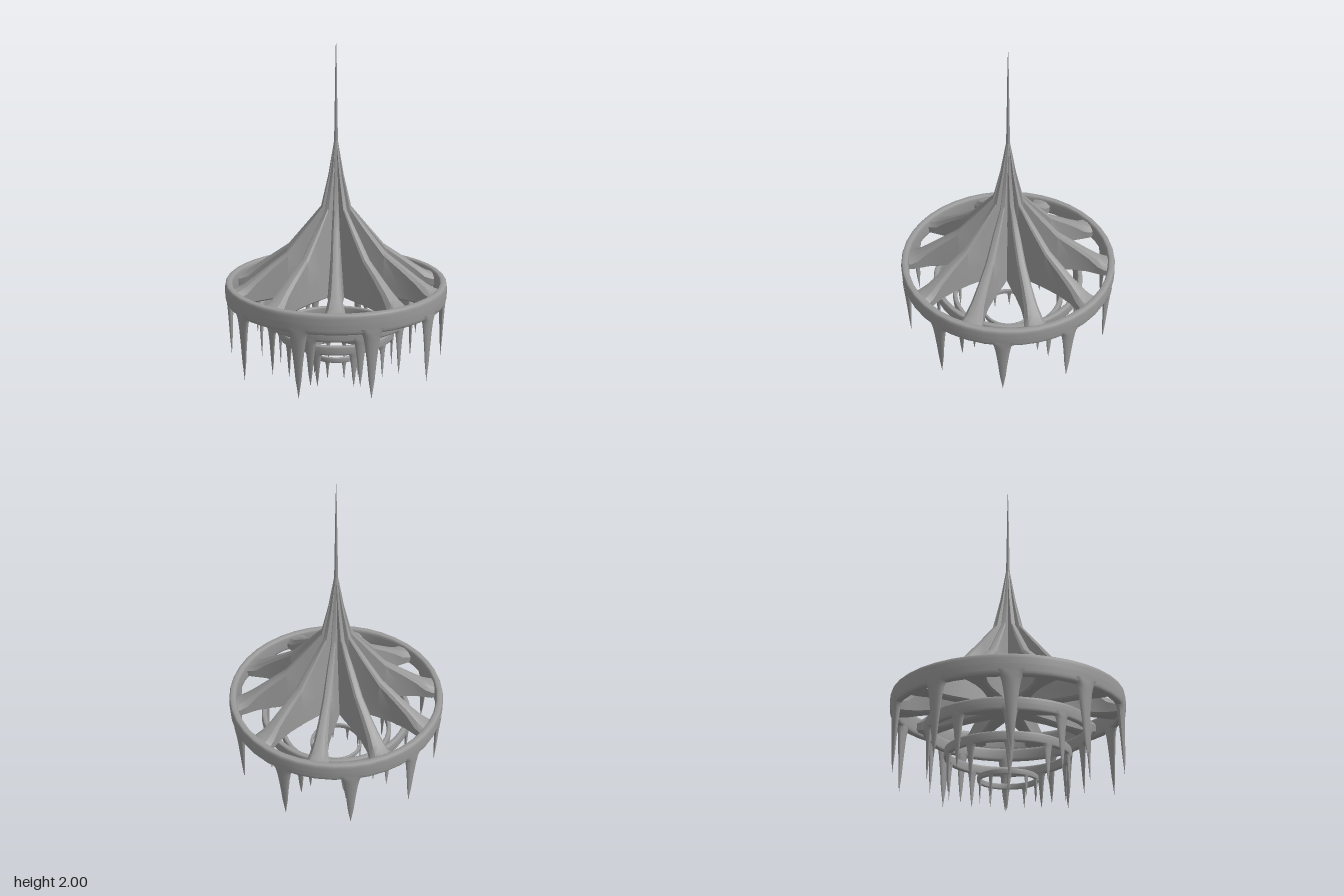
import * as THREE from 'three';
import { toCreasedNormals } from 'three/addons/utils/BufferGeometryUtils.js';

const COUNT = 10;
const STEP = (Math.PI * 2) / COUNT;

// Hoop with a rounded, upright cross-section
function hoopGeometry(outer, inner, top, bottom) {
  const mid = (outer + inner) / 2, half = (outer - inner) / 2;
  const cy = (top + bottom) / 2, hy = (top - bottom) / 2;
  const soft = v => Math.sign(v) * Math.sqrt(Math.abs(v));
  const pts = [];
  for (let i = 0; i <= 20; i++) {
    const a = (i / 20) * Math.PI * 2;
    pts.push(new THREE.Vector2(mid + half * soft(Math.cos(a)), cy + hy * soft(Math.sin(a))));
  }
  return new THREE.LatheGeometry(pts, 40);
}

// Flattened icicle: flared root, slight belly and a sharp tip
function icicleGeometry(top, tip, width, depth) {
  const profile = [[0, 0], [0.13, 0.12], [0.32, 0.29], [0.5, 0.55], [0.72, 0.8],
    [0.88, 0.93], [1, 0.98], [1.16, 1.02], [1.45, 1.08]];
  const pts = profile.map(([w, t]) => new THREE.Vector2(w * width / 2, tip + (top - tip) * t));
  const geo = new THREE.LatheGeometry(pts, 12);
  const limit = depth / 2;
  const p = geo.attributes.position;
  for (let i = 0; i < p.count; i++) {
    p.setX(i, THREE.MathUtils.clamp(p.getX(i) * 0.45, -limit, limit));
  }
  geo.computeVertexNormals();
  return geo;
}

// Radial blade: a rounded ridge over a deep web, flaring where it meets the hoop
function bladeGeometry() {
  // radius, ridge height, underside height, ridge half-width, underside half-width
  const sections = [
    [0.0, 1.45, 0.50, 0.003, 0.05],
    [0.012, 1.40, 0.50, 0.004, 0.05],
    [0.045, 1.21, 0.50, 0.008, 0.05],
    [0.09, 1.02, 0.50, 0.013, 0.05],
    [0.19, 0.90, 0.50, 0.021, 0.046],
    [0.30, 0.77, 0.50, 0.026, 0.036],
    [0.40, 0.70, 0.495, 0.031, 0.031],
    [0.49, 0.637, 0.49, 0.040, 0.038],
    [0.55, 0.597, 0.485, 0.056, 0.052],
    [0.59, 0.575, 0.485, 0.068, 0.065],
    [0.625, 0.565, 0.49, 0.072, 0.07]
  ];
  const pos = [], idx = [];
  let n = 0;
  for (const [r, top, bot, wt, wb] of sections) {
    const cap = Math.min(wt * 0.8, (top - bot) * 0.4);
    const side = [[top, 0], [top - cap * 0.2, wt * 0.6], [top - cap, wt],
      [bot + (top - bot) * 0.35, wt * 0.4 + wb * 0.6], [bot + 0.01, wb], [bot, wb * 0.7]];
    const loop = [...side, ...side.slice(1).reverse().map(([y, z]) => [y, -z])];
    n = loop.length;
    for (const [y, z] of loop) pos.push(r, y, z);
  }
  for (let i = 0; i < sections.length - 1; i++) {
    for (let j = 0; j < n; j++) {
      const a = i * n + j, b = i * n + (j + 1) % n;
      idx.push(a, b, b + n, a, b + n, a + n);
    }
  }
  const geo = new THREE.BufferGeometry();
  geo.setAttribute('position', new THREE.Float32BufferAttribute(pos, 3));
  geo.setIndex(idx);
  return toCreasedNormals(geo, 0.6);
}

export function createModel() {
  const model = new THREE.Group();
  model.name = 'chandelier';
  const grey = new THREE.MeshStandardMaterial({ color: 0x999999 });
  grey.name = 'stone grey';

  const add = (parent, geo, name) => {
    const mesh = new THREE.Mesh(geo, grey);
    mesh.name = name;
    parent.add(mesh);
    return mesh;
  };

  // Needle spire
  const needle = [[0.022, 1.1], [0.017, 1.25], [0.011, 1.42], [0.007, 1.65], [0.004, 1.85], [0, 2]];
  add(model, new THREE.LatheGeometry(needle.map(([r, y]) => new THREE.Vector2(r, y)), 10), 'spire');

  // Ten blades forming the canopy
  const canopy = new THREE.Group();
  canopy.name = 'canopy';
  const blade = bladeGeometry();
  for (let i = 0; i < COUNT; i++) {
    add(canopy, blade, 'blade').rotation.y = -(Math.PI / 20 + i * STEP);
  }
  model.add(canopy);

  // Four nested tiers, each a hoop hung with icicles
  const tiers = [
    { name: 'outerTier', outer: 0.657, inner: 0.612, top: 0.585, bottom: 0.47, tip: 0.09, width: 0.108 },
    { name: 'secondTier', outer: 0.467, inner: 0.433, top: 0.43, bottom: 0.355, tip: 0.08, width: 0.076 },
    { name: 'thirdTier', outer: 0.351, inner: 0.323, top: 0.286, bottom: 0.23, tip: 0.03, width: 0.056 },
    { name: 'innerTier', outer: 0.167, inner: 0.15, top: 0.14, bottom: 0.108, tip: 0, width: 0.029 }
  ];
  for (const t of tiers) {
    const tier = new THREE.Group();
    tier.name = t.name;
    add(tier, hoopGeometry(t.outer, t.inner, t.top, t.bottom), 'hoop');
    const icicle = icicleGeometry(t.bottom, t.tip, t.width, (t.outer - t.inner) * 0.95);
    icicle.translate((t.outer + t.inner) / 2, 0, 0);
    for (let i = 0; i < COUNT; i++) {
      add(tier, icicle, 'icicle').rotation.y = -(Math.PI * 0.15 + i * STEP);
    }
    model.add(tier);
  }
  return model;
}
